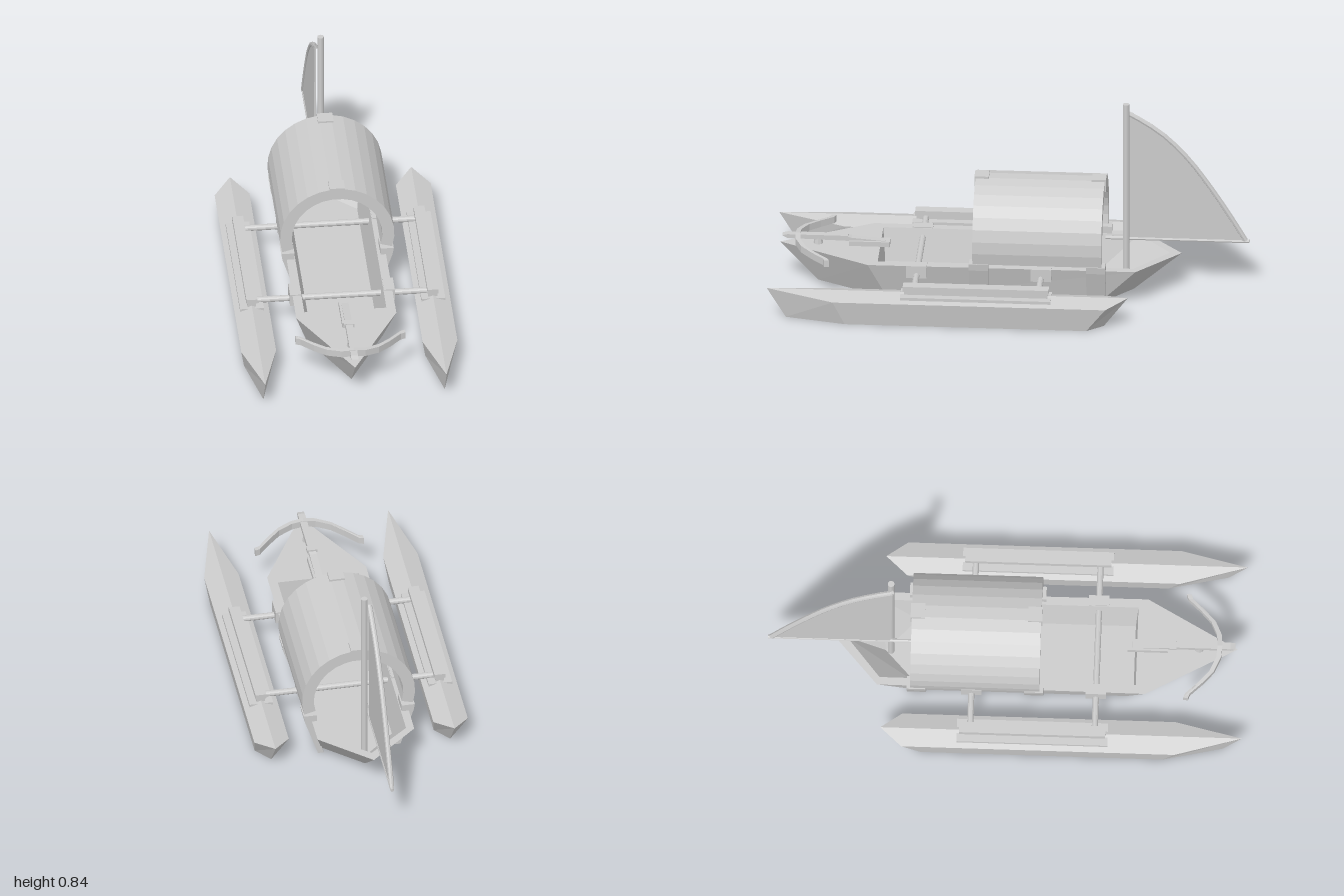
import * as THREE from 'three';

const mat = new THREE.MeshStandardMaterial({ color: 0xcccccc, flatShading: true, side: THREE.DoubleSide });

function add(parent, name, geo, x = 0, y = 0, z = 0) {
  const m = new THREE.Mesh(geo, mat);
  m.name = name;
  m.position.set(x, y, z);
  parent.add(m);
  return m;
}

const box = (w, h, d) => new THREE.BoxGeometry(w, h, d);

// Six-sided boat outline: bow, two shoulders per side, stern; each point is [x, y, z]
function ring(bow, front, rear, stern) {
  const flip = ([x, y, z]) => [-x, y, z];
  return [bow, front, rear, stern, flip(rear), flip(front)];
}

// Skin stacked outlines and close both ends
function loft(rings) {
  const n = rings[0].length, idx = [];
  rings.slice(1).forEach((_, r) => {
    for (let i = 0; i < n; i++) {
      const a = r * n + i, b = r * n + (i + 1) % n;
      idx.push(a, b, b + n, a, b + n, a + n);
    }
  });
  const last = (rings.length - 1) * n;
  for (let i = 1; i < n - 1; i++) {
    idx.push(0, i + 1, i);
    idx.push(last, last + i, last + i + 1);
  }
  const g = new THREE.BufferGeometry();
  g.setAttribute('position', new THREE.Float32BufferAttribute(rings.flat(2), 3));
  g.setIndex(idx);
  const flat = g.toNonIndexed();
  flat.computeVertexNormals();
  return flat;
}

function extrude(points, depth) {
  const shape = new THREE.Shape(points.map(([x, y]) => new THREE.Vector2(x, y)));
  return new THREE.ExtrudeGeometry(shape, { depth, bevelEnabled: false });
}

// Plate in the z-y plane, centred on x = 0
const sidePlate = (points, w) => extrude(points, w).rotateY(-Math.PI / 2).translate(w / 2, 0, 0);

export function createModel() {
  const model = new THREE.Group();
  model.name = 'outriggerBoat';

  // Main hull with open cockpit
  add(model, 'hull', loft([
    ring([0, 0, 0.8], [0.16, 0, 0.5], [0.16, 0, -0.38], [0, 0, -0.52]),
    ring([0, 0.17, 0.96], [0.21, 0.17, 0.58], [0.205, 0.17, -0.54], [0, 0.17, -0.72]),
    ring([0, 0.17, 0.54], [0.172, 0.17, 0.54], [0.172, 0.17, -0.53], [0, 0.17, -0.67]),
    ring([0, 0.03, 0.53], [0.14, 0.03, 0.53], [0.14, 0.03, -0.38], [0, 0.03, -0.51]),
  ]));

  // Outriggers with ridged tops and their rails
  for (const s of [1, -1]) {
    const side = new THREE.Group();
    side.name = s > 0 ? 'leftOutrigger' : 'rightOutrigger';
    side.position.x = s * 0.38;
    model.add(side);
    add(side, 'float', loft([
      ring([0, 0, 0.91], [0.057, 0, 0.66], [0.057, 0, -0.35], [0, 0, -0.42]),
      ring([0, 0.13, 0.99], [0.073, 0.105, 0.71], [0.073, 0.105, -0.43], [0, 0.13, -0.52]),
      ring([0, 0.13, 0.99], [0, 0.13, 0.71], [0, 0.13, -0.43], [0, 0.13, -0.52]),
    ]));
    add(side, 'railBase', box(0.1, 0.025, 0.63), 0, 0.113, 0.115);
    add(side, 'railFoot', box(0.036, 0.03, 0.6), 0, 0.132, 0.115);
    add(side, 'rail', box(0.046, 0.02, 0.61), 0, 0.153, 0.115);
  }

  // Cross poles and the gunwale brackets holding them
  for (const z of [0.375, -0.145]) {
    add(model, 'crossPole', new THREE.CylinderGeometry(0.013, 0.013, 0.74, 12).rotateZ(Math.PI / 2), 0, 0.131, z);
    for (const s of [1, -1]) add(model, 'poleBracket', box(0.045, 0.055, 0.085), s * 0.197, 0.147, z);
  }

  // Arched canopy, open at both ends
  const canopy = new THREE.Group();
  canopy.name = 'canopy';
  canopy.position.x = 0.005;
  model.add(canopy);
  const arch = (r, start, end, n) => Array.from({ length: n + 1 }, (_, i) => {
    const a = start + (end - start) * i / n;
    return [r * Math.cos(a), 0.265 + r * Math.sin(a)];
  });
  const a0 = -0.28, a1 = Math.PI + 0.28;
  add(canopy, 'canopyShell', extrude([...arch(0.24, a0, a1, 17), ...arch(0.19, a1, a0, 17)], 0.54), 0, 0, -0.4);

  // Keystone blocks and ribs running down the hull sides
  for (const z of [0.115, -0.375]) {
    add(canopy, 'keystone', box(0.065, 0.055, 0.06), 0, 0.484, z);
    for (const s of [1, -1]) {
      const rib = [[0.15, 0], [0.175, 0], [0.231, 0.17], [0.236, 0.2], [0.18, 0.2], [0.18, 0.17], [0.195, 0.15]];
      add(canopy, 'canopyRib', extrude(rib.map(([x, y]) => [s * x, y]), 0.08), 0, 0, z - 0.04);
    }
  }

  // Mast, boom, curved yard and sail
  const sail = new THREE.Group();
  sail.name = 'rig';
  model.add(sail);
  add(sail, 'mast', new THREE.CylinderGeometry(0.014, 0.014, 0.815, 12), -0.003, 0.437, -0.487);
  add(sail, 'boom', new THREE.CylinderGeometry(0.008, 0.008, 0.6, 8).rotateX(Math.PI / 2), -0.026, 0.22, -0.7);
  const edge = [[-0.48, 0.8], [-0.56, 0.755], [-0.65, 0.69], [-0.75, 0.585], [-0.84, 0.46], [-0.92, 0.335], [-0.985, 0.225]];
  add(sail, 'sailCloth', sidePlate([[-0.49, 0.22], ...edge], 0.008), -0.026);
  const path = new THREE.CatmullRomCurve3(edge.map(([z, y]) => new THREE.Vector3(-0.026, y, z)));
  add(sail, 'yard', new THREE.TubeGeometry(path, 12, 0.011, 8));

  // Deck crossbow on the bow
  const bow = new THREE.Group();
  bow.name = 'deckCrossbow';
  model.add(bow);
  const stock = [[0.95, 0.205], [0.93, 0.211], [0.69, 0.211], [0.66, 0.203], [0.52, 0.192], [0.5, 0.17],
    [0.57, 0.172], [0.66, 0.188], [0.93, 0.194]];
  add(bow, 'stock', sidePlate(stock, 0.03));
  add(bow, 'stockButt', box(0.05, 0.022, 0.17), 0, 0.18, 0.585);
  add(bow, 'trigger', box(0.044, 0.014, 0.03), 0, 0.207, 0.69);
  add(bow, 'pivot', new THREE.CylinderGeometry(0.015, 0.022, 0.04, 8), 0, 0.18, 0.8);
  const half = [[0.23, 0.75], [0.21, 0.757], [0.16, 0.81], [0.11, 0.855], [0.05, 0.882]];
  const line = [...half, [0, 0.886], ...half.map(([x, z]) => [-x, z]).reverse()];
  const limbs = extrude([...line.map(([x, z]) => [x, z + 0.01]), ...line.map(([x, z]) => [x, z - 0.01]).reverse()], 0.03)
    .rotateX(Math.PI / 2);
  // Limbs droop toward the tips
  const p = limbs.attributes.position;
  for (let i = 0; i < p.count; i++) p.setY(i, p.getY(i) + 0.214 - 0.02 * Math.min(1, Math.abs(p.getX(i)) / 0.2));
  limbs.computeVertexNormals();
  add(bow, 'limbs', limbs);

  return model;
}
